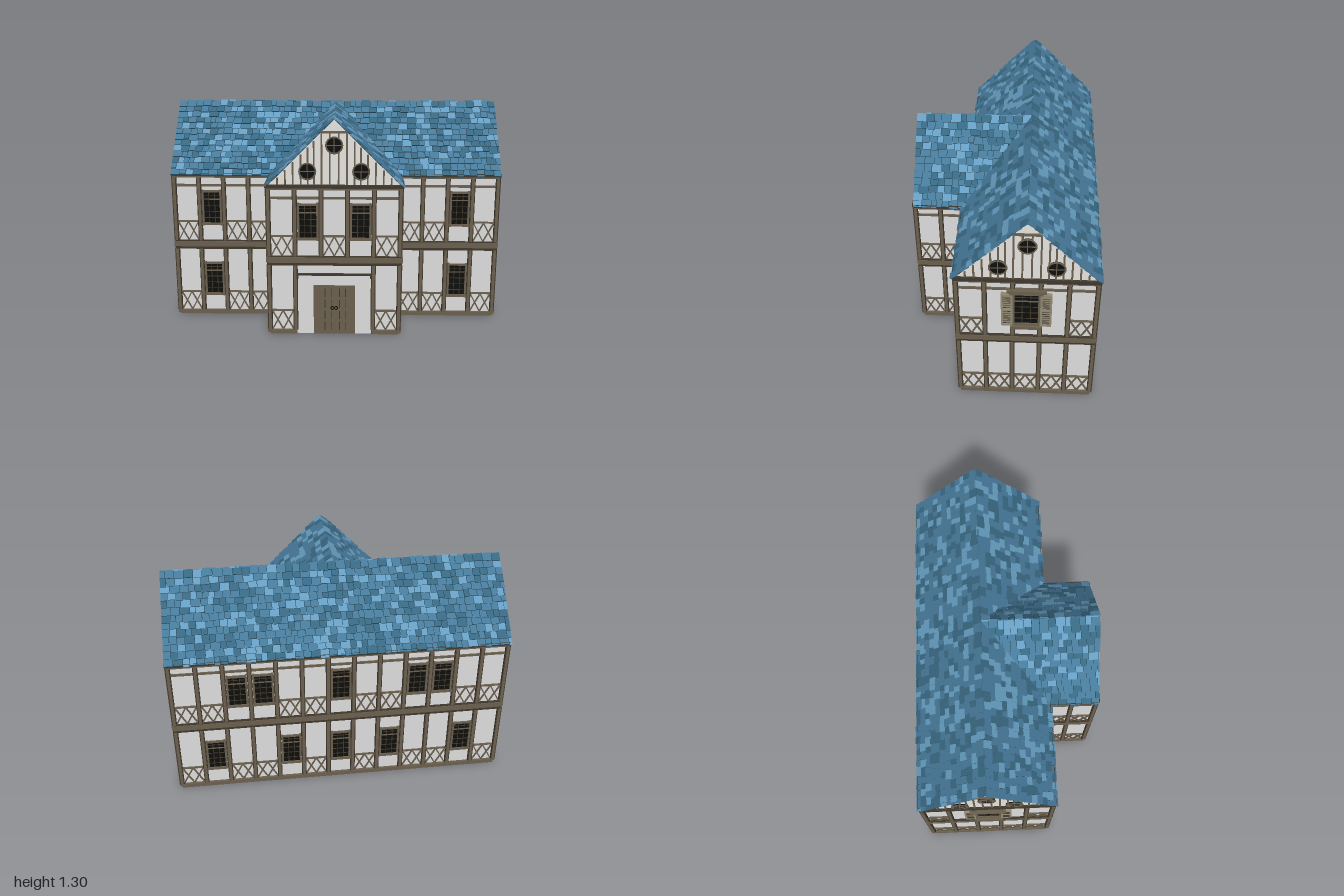
import * as THREE from 'three';
import { mergeGeometries } from 'three/addons/utils/BufferGeometryUtils.js';

const mat = (name, color, side = THREE.FrontSide) => {
  const m = new THREE.MeshStandardMaterial({ color, side });
  m.name = name;
  return m;
};
const M = {
  plaster: mat('plaster', 0xdedede, THREE.DoubleSide),
  gable: mat('gable plaster', 0xeae8e4, THREE.DoubleSide),
  wood: mat('wood', 0x6b604e),
  darkWood: mat('dark wood', 0x40382d),
  glass: mat('glass', 0x0e0e0d),
  shutter: mat('shutter paint', 0x928b74),
  tile: mat('blue tile', 0x47799a),
  tileLight: mat('light blue tile', 0x659dc0),
  tileDark: mat('dark blue tile', 0x386781),
  roofBase: mat('roof underlay', 0x24404f, THREE.DoubleSide),
};

let seed = 7;
const rnd = () => (seed = (seed * 16807) % 2147483647) / 2147483647;

// Collects geometry by material, then emits one merged mesh per material
function kit(name) {
  const parts = {}, group = new THREE.Group();
  group.name = name;
  const add = (m, g) => (parts[m] ??= []).push(g);
  const box = (m, w, h, d, x, y, z = 0, rz = 0) =>
    add(m, new THREE.BoxGeometry(w, h, d).rotateZ(rz).translate(x, y, z));
  const done = () => {
    for (const [m, list] of Object.entries(parts)) {
      const mesh = new THREE.Mesh(mergeGeometries(list), M[m]);
      mesh.name = `${name} ${M[m].name}`;
      group.add(mesh);
    }
    return group;
  };
  return { add, box, done, group };
}

// Upright timber with dark edges
function post(k, x, y0, y1) {
  k.box('darkWood', 0.028, y1 - y0, 0.012, x, (y0 + y1) / 2, 0.006);
  k.box('wood', 0.017, y1 - y0, 0.02, x, (y0 + y1) / 2, 0.006);
}

// Two crossed pairs of slats filling the foot of a bay
function lattice(k, x, y0, y1, w) {
  const h = y1 - y0, cw = w / 2, len = Math.hypot(cw, h) * 0.97, a = Math.atan2(h, cw);
  for (const sx of [-1, 1]) for (const r of [-a, a])
    k.box('wood', len, 0.0075, 0.008, x + sx * cw / 2, (y0 + y1) / 2, 0.004, r);
  k.box('wood', w, 0.01, 0.01, x, y1 + 0.003, 0.004);
}

// Leaded window, passing through the wall so it also shows inside
function leaded(k, x, y0, y1, w) {
  const h = y1 - y0, yc = (y0 + y1) / 2, transom = y1 - h * 0.24;
  k.box('glass', w, h, 0.008, x, yc);
  for (const s of [-1, 1]) k.box('wood', 0.012, h + 0.02, 0.022, x + s * w / 2, yc);
  k.box('wood', w + 0.012, 0.012, 0.022, x, y1);
  k.box('wood', w + 0.02, 0.016, 0.026, x, y0);
  k.box('wood', w, 0.007, 0.016, x, transom);
  for (const f of [-1, 1]) k.box('darkWood', 0.004, h, 0.013, x + f * w / 6, yc);
  for (let i = 1; i < 4; i++)
    k.box('darkWood', w, 0.004, 0.013, x, y0 + (transom - y0) * i / 4);
  k.box('darkWood', w, 0.004, 0.013, x, (transom + y1) / 2);
}

// Two storeys; bay codes: x lattice, w window, - plain
function facade(name, width, ground, upper, doorway = 0) {
  const k = kit(name), n = ground.length, bw = width / n;
  k.add('plaster', new THREE.PlaneGeometry(width, 0.905).translate(0, 0.4525, 0));
  [[ground, 0.025, 0.43, 0.115], [upper, 0.485, 0.895, 0.575]].forEach(([bays, y0, y1, sill]) => {
    for (let i = 0; i <= n; i++) {
      const x = -width / 2 + i * bw;
      if (!(bays[i] === '-' && bays[i - 1] === '-')) post(k, x, y0, y1);
      const cx = x + bw / 2;
      if (bays[i] === 'x') lattice(k, cx, y0, y0 + 0.118, bw - 0.026);
      if (bays[i] === 'w') leaded(k, cx, sill + 0.015, sill + 0.22, bw - 0.042);
    }
  });
  // Horizontal beams
  k.box('wood', width, 0.014, 0.01, 0, 0.833, 0.003);
  k.box('darkWood', width + 0.012, 0.056, 0.014, 0, 0.457, 0.007);
  k.box('wood', width + 0.02, 0.034, 0.022, 0, 0.463, 0.007);
  k.box('darkWood', width + 0.02, 0.02, 0.022, 0, 0.902, 0.007);
  k.box('wood', width + 0.01, 0.012, 0.018, 0, 0.888, 0.006);
  const run = (width - doorway) / 2;
  for (const s of [-1, 1])
    k.box('wood', run, 0.025, 0.02, s * (width / 2 - run / 2), 0.0125, 0.006);
  return k;
}

// Triangular gable with battens and three round windows
function gable(k, half) {
  const y0 = 0.905, top = y0 + half;
  const tri = new THREE.Shape([[-half, y0], [half, y0], [0, top]].map(p => new THREE.Vector2(...p)));
  k.add('gable', new THREE.ShapeGeometry(tri).translate(0, 0, 0.003));
  for (const u of [0.025, 0.072, 0.115, 0.15, 0.19, 0.235, 0.28, 0.325]) for (const s of [-1, 1]) {
    const h = Math.min(half - u - 0.008, 0.3);
    k.box('wood', 0.01, h, 0.008, s * u, y0 + h / 2, 0.006);
  }
  k.box('wood', 0.15, 0.013, 0.012, 0, 1.213, 0.006);
  for (const [x, y] of [[-0.152, 0.99], [0.152, 0.99], [0, 1.14]]) {
    k.add('glass', new THREE.CylinderGeometry(0.046, 0.046, 0.016, 24).rotateX(Math.PI / 2).translate(x, y, 0.006));
    k.add('wood', new THREE.TorusGeometry(0.046, 0.005, 6, 24).translate(x, y, 0.013));
    k.box('wood', 0.09, 0.005, 0.006, x, y, 0.014);
    k.box('wood', 0.005, 0.09, 0.006, x, y, 0.014);
  }
}

// Hooded window with louvred shutters, on the end walls
function shutteredWindow(k) {
  leaded(k, 0, 0.572, 0.8, 0.138);
  for (const s of [-1, 1]) {
    post(k, s * 0.075, 0.485, 0.55);
    post(k, s * 0.075, 0.84, 0.89);
    const x = s * 0.106;
    k.box('shutter', 0.062, 0.235, 0.012, x, 0.688, 0.008);
    for (const e of [-1, 1]) k.box('shutter', 0.011, 0.235, 0.022, x + e * 0.026, 0.688, 0.008);
    for (const y of [0.575, 0.688, 0.8]) k.box('shutter', 0.062, 0.012, 0.022, x, y, 0.008);
    for (let i = 0; i < 14; i++) if (i !== 7)
      k.box('darkWood', 0.04, 0.003, 0.005, x, 0.587 + i * 0.0145, 0.0135);
  }
  k.box('wood', 0.18, 0.014, 0.03, 0, 0.815, 0.012);
  k.box('wood', 0.212, 0.016, 0.04, 0, 0.832, 0.012);
  k.box('wood', 0.172, 0.018, 0.032, 0, 0.559, 0.012);
}

// Double plank door in a plain raised panel
function door(k) {
  k.box('plaster', 0.43, 0.37, 0.006, 0, 0.185, 0.003);
  k.box('darkWood', 0.43, 0.01, 0.022, 0, 0.373, 0.008);
  for (const s of [-1, 1]) k.box('darkWood', 0.006, 0.02, 0.018, s * 0.212, 0.36, 0.006);
  k.box('wood', 0.244, 0.305, 0.022, 0, 0.1525, 0);
  for (const x of [-0.055, -0.018, 0.03, 0.065])
    for (let i = 0; i < 4; i++) k.box('darkWood', 0.005, 0.052, 0.004, x, 0.05 + i * 0.07, 0.0105);
  for (const s of [-1, 1])
    k.add('glass', new THREE.TorusGeometry(0.009, 0.003, 6, 12).translate(s * 0.011, 0.165, 0.014));
}

// One 45-degree tiled slope: u runs along the ridge, s down the slope
const RUN = 0.392, LEN = RUN * Math.SQRT2;
function slope(name, u0, u1, outline, keep) {
  const k = kit(name), rows = 13, step = LEN / rows;
  const shape = new THREE.Shape(outline.map(p => new THREE.Vector2(...p)));
  k.add('roofBase', new THREE.ShapeGeometry(shape).rotateX(Math.PI / 2));
  for (let r = 0; r < rows; r++) {
    const s = (r + 0.5) * step;
    for (let u = u0; u < u1 - 0.01;) {
      const w = Math.min(0.03 + rnd() * 0.03, u1 - u), cu = u + w / 2;
      u += w;
      const pick = rnd(), jit = (rnd() - 0.5) * 0.012, lift = rnd() * 0.003;
      if (!keep(cu, s)) continue;
      const color = pick < 0.22 ? 'tileLight' : pick < 0.48 ? 'tileDark' : 'tile';
      k.add(color, new THREE.BoxGeometry(w - 0.003, 0.008, step + 0.008)
        .rotateX(-0.15).translate(cu, 0.004 + lift, s + jit));
    }
  }
  k.done().rotation.x = Math.PI / 4;
  return k.group;
}

export function createModel() {
  const model = new THREE.Group();
  model.name = 'timberFramedHouse';
  const zc = -0.1475, half = 0.3775, ridge = 1.29;
  const place = (g, x, y, z, ry = 0) => {
    const holder = new THREE.Group();
    holder.name = `${g.name} placement`;
    holder.position.set(x, y, z);
    holder.rotation.y = ry;
    holder.add(g);
    model.add(holder);
  };

  // Long walls
  place(facade('frontWallRight', 0.6, 'xxwx', 'xxwx').done(), 0.68, 0, 0.23);
  place(facade('frontWallLeft', 0.6, 'xwxx', 'xwxx').done(), -0.68, 0, 0.23);
  place(facade('backWall', 1.96, 'xwxxwxwxwxxwx', 'xxwwxxwxxwwxx').done(), 0, 0, zc - half, Math.PI);

  // Front wing with the door
  const wing = facade('wingFront', 0.76, 'x---x', 'xwxwx', 0.44);
  door(wing);
  gable(wing, 0.38);
  place(wing.done(), 0, 0, 0.523);

  // End walls and wing sides
  for (const s of [-1, 1]) {
    const end = facade('endWall', half * 2, 'xxxxx', 'x---x');
    shutteredWindow(end);
    gable(end, half);
    place(end.done(), s * 0.98, 0, zc, s * Math.PI / 2);
    place(facade('wingSide', 0.293, 'xx', 'xx').done(), s * 0.38, 0, 0.3765, s * Math.PI / 2);
  }

  // Main roof; the front slope is left bare of tiles beneath the wing roof
  const rect = [[-0.99, 0], [0.99, 0], [0.99, LEN], [-0.99, LEN]];
  place(slope('backRoof', -0.998, 0.998, rect, () => true), 0, ridge, zc, Math.PI);
  place(slope('frontRoof', -0.998, 0.998, rect,
    (u, s) => Math.abs(u) > s * Math.SQRT1_2 - 0.02), 0, ridge, zc);

  // Wing roof, cut along the valleys
  for (const s of [-1, 1]) {
    const outline = [[0.53, 0], [0.53, LEN], [zc + RUN, LEN], [zc, 0]].map(([z, d]) => [-s * z, d]);
    const [u0, u1] = s > 0 ? [-0.536, 0.15] : [-0.15, 0.536];
    place(slope('wingRoof', u0, u1, outline,
      (u, d) => -s * u > d * Math.SQRT1_2 + zc - 0.015), 0, ridge, 0, s * Math.PI / 2);
  }
  return model;
}
